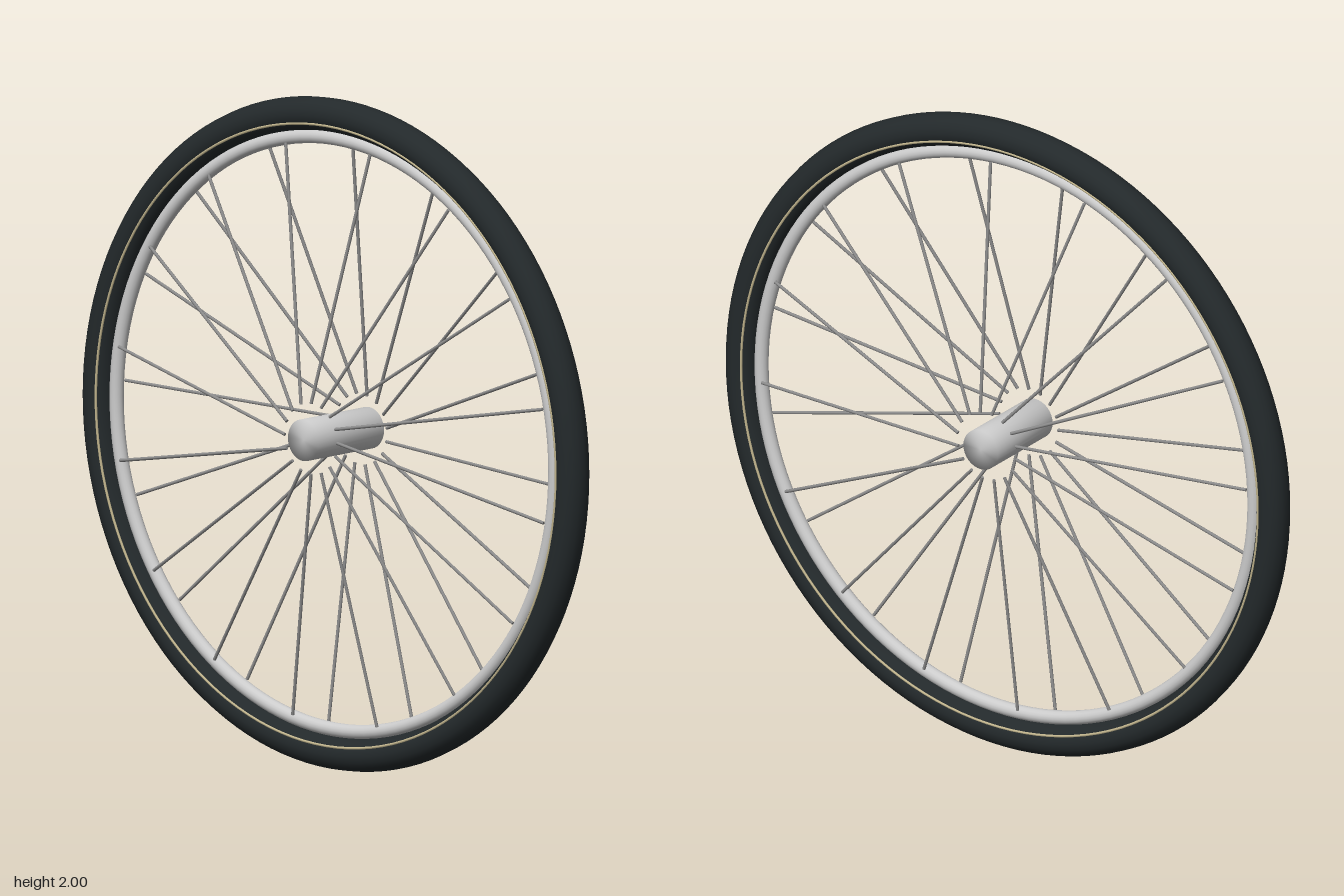
import * as THREE from 'three';

const SPOKES_PER_SIDE = 16;
const X = new THREE.Vector3(1, 0, 0), Y = new THREE.Vector3(0, 1, 0);

const material = (color) => new THREE.MeshStandardMaterial({ color });

// Point on a circle around the x axis
const onCircle = (x, radius, degrees) =>
  new THREE.Vector3(x, 0, -radius).applyAxisAngle(X, THREE.MathUtils.degToRad(degrees));

// Ring lying around the x axis
function ring(name, radius, tube, sides, mat, x = 0) {
  const geometry = new THREE.TorusGeometry(radius, tube, sides, 128).rotateY(Math.PI / 2);
  const mesh = new THREE.Mesh(geometry, mat);
  mesh.name = name;
  mesh.position.x = x;
  return mesh;
}

// Thin rod between two points
function rod(name, a, b, radius, mat) {
  const mesh = new THREE.Mesh(new THREE.CylinderGeometry(radius, radius, a.distanceTo(b), 8), mat);
  mesh.name = name;
  mesh.position.lerpVectors(a, b, 0.5);
  mesh.quaternion.setFromUnitVectors(Y, b.clone().sub(a).normalize());
  return mesh;
}

export function createModel() {
  const wheel = new THREE.Group();
  wheel.name = 'spokedWheel';
  wheel.position.y = 1;

  const metal = material(0xcccccc);
  const steel = material(0x8c8c8c);
  const rubber = material(0x23292b);
  const cream = material(0xc4b78f);

  // Tyre, inner rim and a pinstripe on each sidewall
  wheel.add(ring('tyre', 0.95, 0.05, 16, rubber));
  wheel.add(ring('rim', 0.882, 0.021, 16, metal));
  for (const side of [1, -1]) {
    wheel.add(ring('pinstripe', 0.925, 0.004, 6, cream, side * 0.0433));
  }

  // Hub barrel, shaded softly over its ends
  const profile = [[0, -0.14], [0.062, -0.14], [0.062, 0.14], [0, 0.14]]
    .map(([r, h]) => new THREE.Vector2(r, h));
  const hub = new THREE.Mesh(new THREE.LatheGeometry(profile, 32).rotateZ(-Math.PI / 2), metal);
  hub.name = 'hub';
  wheel.add(hub);

  // Two fans of spokes, leaning opposite ways on the two sides
  const fans = [
    { name: 'leftSpokes', side: 1, start: 13.5, end: 3.2 },
    { name: 'rightSpokes', side: -1, start: 0, end: 10.3 },
  ];
  for (const { name, side, start, end } of fans) {
    const fan = new THREE.Group();
    fan.name = name;
    for (let i = 0; i < SPOKES_PER_SIDE; i++) {
      const turn = (i * 360) / SPOKES_PER_SIDE;
      const inner = onCircle(side * 0.107, 0.105, turn + start);
      const outer = onCircle(side * 0.02, 0.868, turn + end);
      fan.add(rod('spoke', inner, outer, 0.005, steel));
    }
    wheel.add(fan);
  }

  const model = new THREE.Group();
  model.name = 'wheelModel';
  model.add(wheel);
  return model;
}
